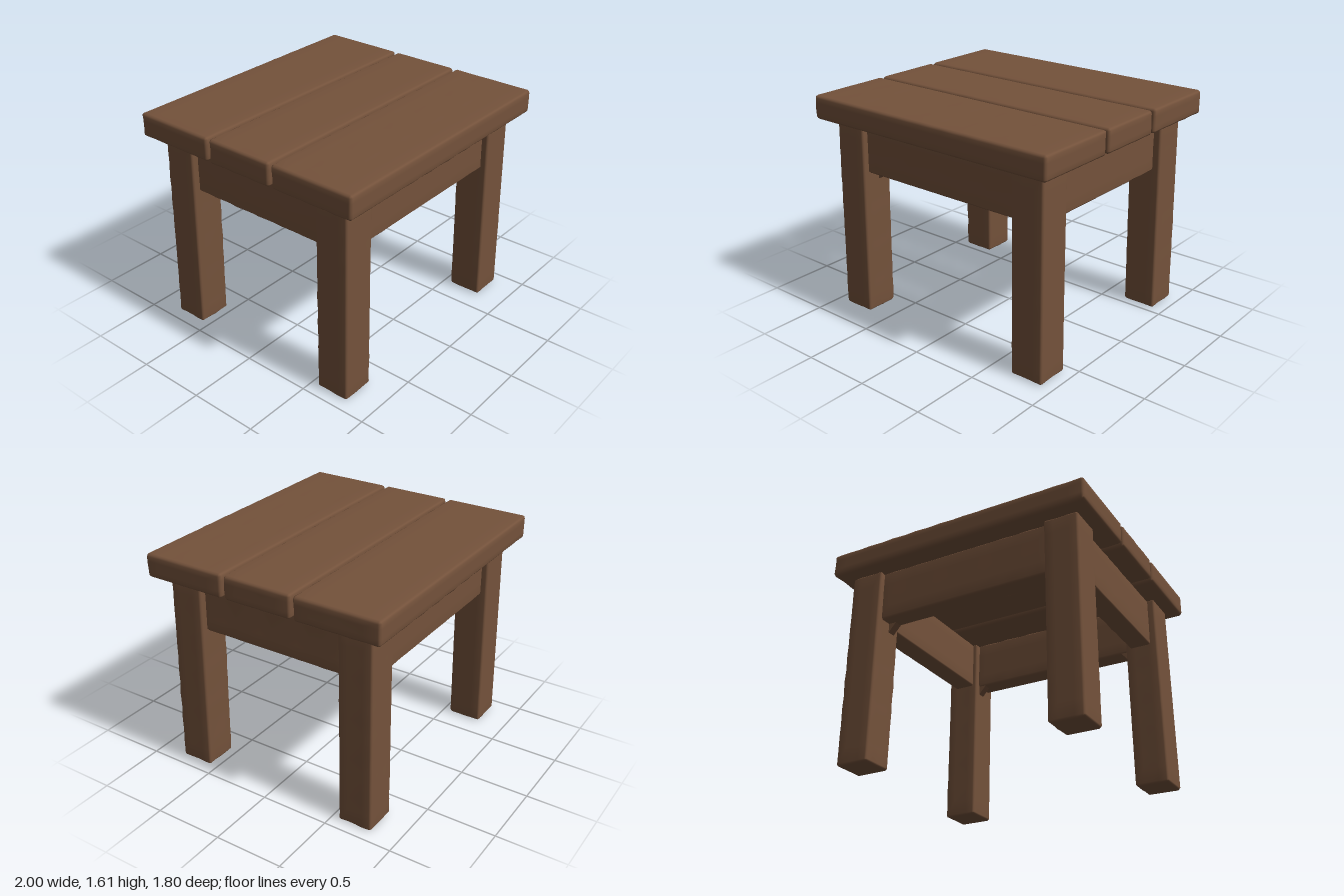
import * as THREE from 'three';
import { mergeVertices } from 'three/addons/utils/BufferGeometryUtils.js';

// Timber block between two corners: bevelled edges with gentle hand-hewn wear
function timber(min, max, radius, seed, wear = 0.005) {
  const size = max.map((v, i) => v - min[i]);
  const half = size.map(v => v / 2);
  const segs = size.map(v => Math.max(4, Math.round(v / 0.1)) + 2);
  let g = new THREE.BoxGeometry(2, 2, 2, ...segs);
  g.deleteAttribute('normal');
  g.deleteAttribute('uv');
  g = mergeVertices(g);
  const pos = g.attributes.position;
  const d = new THREE.Vector3();
  for (let i = 0; i < pos.count; i++) {
    const p = [], inner = [];
    for (let a = 0; a < 3; a++) {
      // outermost grid rows fall inside the bevel, the rest spread evenly
      const k = Math.round((pos.getComponent(i, a) + 1) / 2 * segs[a]);
      const flat = half[a] - radius;
      inner[a] = -flat + 2 * flat * (THREE.MathUtils.clamp(k, 1, segs[a] - 1) - 1) / (segs[a] - 2);
      p[a] = k === 0 ? -half[a] : k === segs[a] ? half[a] : inner[a];
    }
    d.set(p[0] - inner[0], p[1] - inner[1], p[2] - inner[2]);
    const edges = d.toArray().filter(v => Math.abs(v) > 1e-6).length;
    const wave = Math.sin(p[0] * 9 + seed) * Math.sin(p[1] * 11 + seed * 2.3) * Math.sin(p[2] * 10 + seed * 1.7 + 1);
    const chip = edges > 1 ? wear * Math.abs(Math.sin(seed * 5 + (p[0] + p[1] + p[2]) * 17)) : wear * 0.4 * Math.abs(wave);
    d.setLength(radius - chip);
    pos.setXYZ(i, ...inner.map((v, a) => v + d.getComponent(a) + (min[a] + max[a]) / 2));
  }
  g.computeVertexNormals();
  return g;
}

export function createModel() {
  const group = new THREE.Group();
  const wood = new THREE.MeshStandardMaterial({ color: 0x74523b });
  wood.name = 'brown wood';
  const add = (name, geometry) => {
    const mesh = new THREE.Mesh(geometry, wood);
    mesh.name = name;
    group.add(mesh);
    return mesh;
  };

  // Three top planks, with narrow gaps
  [['backPlank', -0.9, -0.28], ['middlePlank', -0.26, 0.255], ['frontPlank', 0.275, 0.9]].forEach(([name, z0, z1], i) =>
    add(name, timber([-1, 1.435, z0], [1, 1.607, z1], 0.02, i + 1)));

  // Four legs, leaning slightly inwards towards the top
  for (const sx of [-1, 1]) for (const sz of [-1, 1]) {
    const x = sx * 0.79, z = sz * 0.678;
    const g = timber([x - 0.125, 0, z - 0.125], [x + 0.125, 1.44, z + 0.125], 0.016, sx * 2 + sz + 5);
    const pos = g.attributes.position;
    for (let i = 0; i < pos.count; i++) {
      const t = pos.getY(i) / 1.44;
      pos.setX(i, pos.getX(i) - sx * 0.014 * t);
      pos.setZ(i, pos.getZ(i) - sz * 0.014 * t);
    }
    g.computeVertexNormals();
    add((sz > 0 ? 'front' : 'back') + (sx > 0 ? 'Left' : 'Right') + 'Leg', g);
  }

  // Aprons between the legs
  for (const s of [-1, 1]) {
    add(s > 0 ? 'frontApron' : 'backApron',
      timber([-0.7, 1.07, s * 0.665 - 0.08], [0.7, 1.44, s * 0.665 + 0.08], 0.014, 8 + s, 0.007));
    add(s > 0 ? 'leftApron' : 'rightApron',
      timber([s * 0.768 - 0.082, 1.07, -0.6], [s * 0.768 + 0.082, 1.44, 0.6], 0.014, 12 + s, 0.007));
  }

  // Small wedges under the apron corners
  const wedge = new THREE.Shape([[0, 0], [0.1, 0.08], [0.1, 0.1], [0, 0.1]].map(p => new THREE.Vector2(...p)));
  wedge.curves.length = 0;
  wedge.setFromPoints([[-0.02, 0], [0, 0], [0.065, 0.075], [0.065, 0.09], [-0.02, 0.09]].map(p => new THREE.Vector2(...p)));
  const wedgeGeo = new THREE.ExtrudeGeometry(wedge, { depth: 0.06, bevelEnabled: false }).translate(0, 0, -0.03);
  for (const sx of [-1, 1]) for (const sz of [-1, 1]) {
    const m = add('cornerWedge', wedgeGeo);
    m.position.set(sx * 0.66, 1.0, sz * 0.625);
    if (sx > 0) m.rotation.y = Math.PI;
  }
  return group;
}
